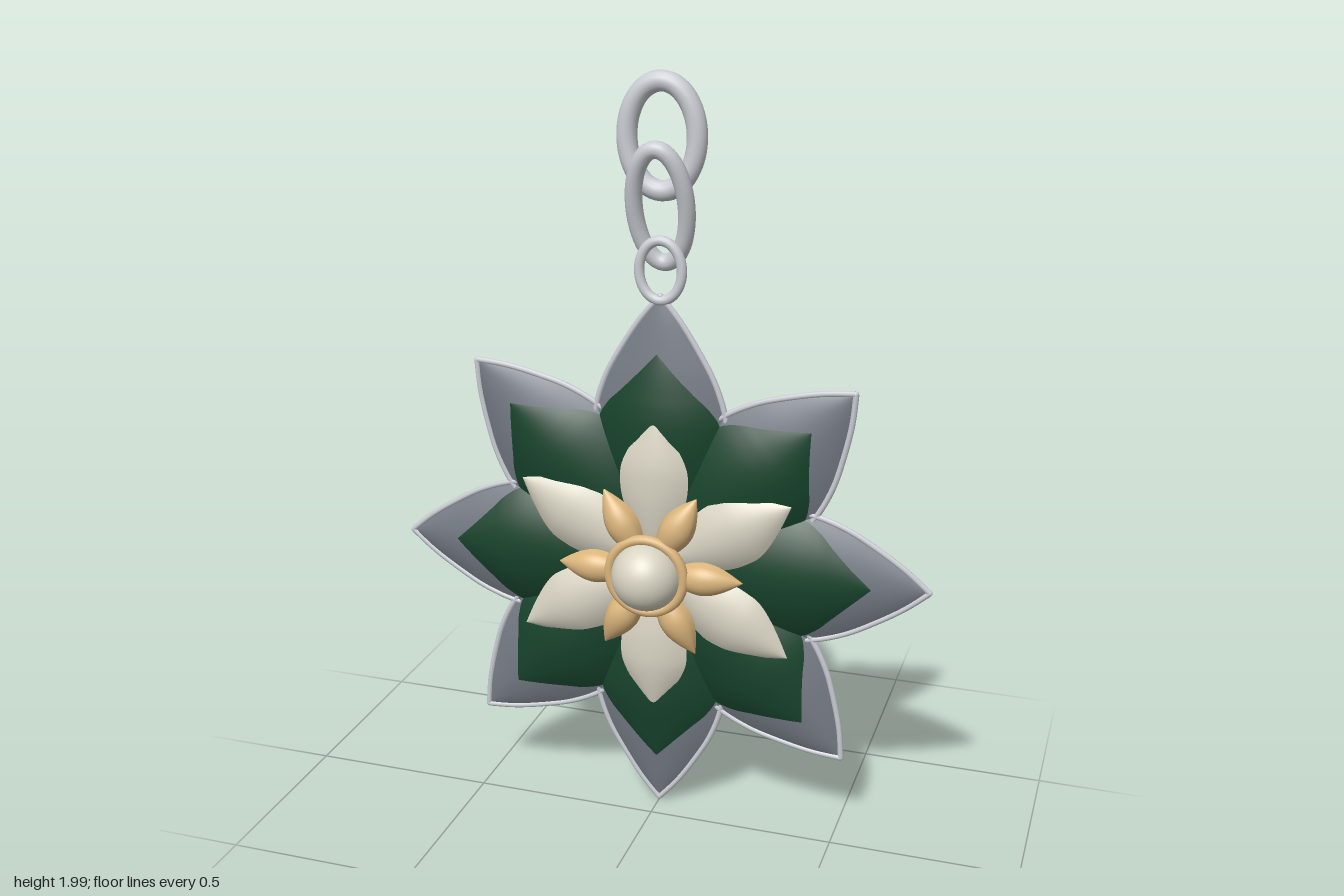
import * as THREE from 'three';

const mat = (color) => new THREE.MeshStandardMaterial({ color, side: THREE.DoubleSide });
const CENTRE_Y = 0.73, BACK_Z = -0.075;

// Petal outlines: [distance from the centre, half width]
const OUTER = [[0.02, 0.001], [0.07, 0.055], [0.15, 0.122], [0.25, 0.167], [0.34, 0.181], [0.42, 0.172],
  [0.5, 0.145], [0.57, 0.107], [0.65, 0.055], [0.715, 0.001]];
const GREEN = [[0.04, 0.001], [0.1, 0.06], [0.2, 0.125], [0.3, 0.16], [0.38, 0.164], [0.43, 0.137],
  [0.47, 0.097], [0.52, 0.048], [0.57, 0.001]];
const CREAM = [[0.03, 0.001], [0.1, 0.05], [0.18, 0.084], [0.25, 0.092], [0.3, 0.08], [0.36, 0.045], [0.42, 0.001]];
const GOLD = [[0.04, 0.001], [0.08, 0.028], [0.13, 0.044], [0.17, 0.042], [0.21, 0.026], [0.25, 0.001]];

const sample = (profile, n) =>
  new THREE.SplineCurve(profile.map(([r, w]) => new THREE.Vector2(r, w))).getPoints(n);

const outerPoints = sample(OUTER, 60);

// Half width of an outer petal at distance r
function outerWidth(r) {
  const i = outerPoints.findIndex((p) => p.x >= r);
  if (i < 1) return 0.001;
  const a = outerPoints[i - 1], b = outerPoints[i];
  return THREE.MathUtils.mapLinear(r, a.x, b.x, a.y, b.y);
}

// Height of the domed outer petal above any point
function outerSurface(r, x) {
  const w = outerWidth(r);
  return BACK_Z + 0.25 * w * Math.max(0, 1 - (x / w) ** 2);
}

// Domed shell spanning an outline; height(r, x, u, w) gives z, with u from -1 to 1 across
function petalGeometry(profile, height, rows = 40, cols = 16) {
  const pos = [], index = [];
  sample(profile, rows).forEach(({ x: r, y: w }, i) => {
    for (let j = 0; j <= cols; j++) {
      const u = (j / cols) * 2 - 1;
      pos.push(u * w, r, height(r, u * w, u, w));
      if (i < rows && j < cols) {
        const a = i * (cols + 1) + j, b = a + cols + 1;
        index.push(a, a + 1, b + 1, a, b + 1, b);
      }
    }
  });
  const g = new THREE.BufferGeometry();
  g.setAttribute('position', new THREE.Float32BufferAttribute(pos, 3));
  g.setIndex(index);
  g.computeVertexNormals();
  return g;
}

// Repeats a geometry around the flower centre
function radial(name, geometry, material, count, offset = 0) {
  const group = new THREE.Group();
  group.name = name + 's';
  for (let i = 0; i < count; i++) {
    const mesh = new THREE.Mesh(geometry, material);
    mesh.name = name;
    mesh.rotation.z = offset + (i / count) * Math.PI * 2;
    group.add(mesh);
  }
  return group;
}

// Oval chain link made of round wire
function link(name, rx, ry, wire, y, z, tilt, material) {
  const points = [];
  for (let i = 0; i < 32; i++) {
    const a = (i / 32) * Math.PI * 2;
    points.push(new THREE.Vector3(rx * Math.cos(a), ry * Math.sin(a), 0));
  }
  const path = new THREE.CatmullRomCurve3(points, true);
  const mesh = new THREE.Mesh(new THREE.TubeGeometry(path, 64, wire, 16, true), material);
  mesh.name = name;
  mesh.position.set(0, y, z);
  mesh.rotation.x = tilt;
  return mesh;
}

export function createModel() {
  const model = new THREE.Group();
  model.name = 'flowerPendant';
  const silver = mat(0xc9ccd2), steel = mat(0x747a84), green = mat(0x17432c);
  const cream = mat(0xd8d3c2), gold = mat(0xdbb57c);

  const flower = new THREE.Group();
  flower.name = 'flower';
  flower.position.y = CENTRE_Y;
  model.add(flower);

  // Outer petals and the wire along both edges of each
  flower.add(radial('outerPetal', petalGeometry(OUTER, outerSurface), steel, 8));
  for (const side of [-1, 1]) {
    const edge = new THREE.CatmullRomCurve3(
      sample(OUTER, 30).map((p) => new THREE.Vector3(side * p.y, p.x, BACK_Z)));
    const name = side < 0 ? 'rightPetalRim' : 'leftPetalRim';
    flower.add(radial(name, new THREE.TubeGeometry(edge, 48, 0.008, 8), silver, 8));
  }
  const tip = new THREE.SphereGeometry(0.008, 10, 8).translate(0, 0.715, BACK_Z);
  flower.add(radial('petalRimTip', tip, silver, 8));

  // Green petals swell gently out of the outer ones
  const greenShell = petalGeometry(GREEN, (r, x, u, w) =>
    outerSurface(r, x) + 0.002 + 0.09 * w * (1 - u * u));
  flower.add(radial('greenPetal', greenShell, green, 8));

  // Cream petals
  const creamShell = petalGeometry(CREAM, (r, x, u, w) => -0.022 + 0.36 * w * (1 - u * u));
  flower.add(radial('creamPetal', creamShell, cream, 6));

  // Small rounded gold petals between the cream ones
  const goldShell = petalGeometry(GOLD, (r, x, u, w) => 0.012 + 0.95 * w * Math.sqrt(1 - u * u), 24, 16);
  flower.add(radial('goldPetal', goldShell, gold, 6, Math.PI / 6));

  // Gold collar and pearl
  const collar = new THREE.Mesh(new THREE.TorusGeometry(0.1, 0.014, 12, 48), gold);
  collar.name = 'collar';
  collar.position.z = 0.042;
  const pearl = new THREE.Mesh(new THREE.SphereGeometry(0.092, 40, 28), cream);
  pearl.name = 'pearl';
  pearl.position.z = 0.038;
  flower.add(collar, pearl);

  // Hanging chain
  model.add(
    link('smallRing', 0.056, 0.076, 0.013, 1.51, -0.075, 0, silver),
    link('middleLink', 0.068, 0.151, 0.022, 1.67, -0.072, 0.25, silver),
    link('topLink', 0.09, 0.133, 0.026, 1.841, -0.085, 0, silver),
  );
  return model;
}
